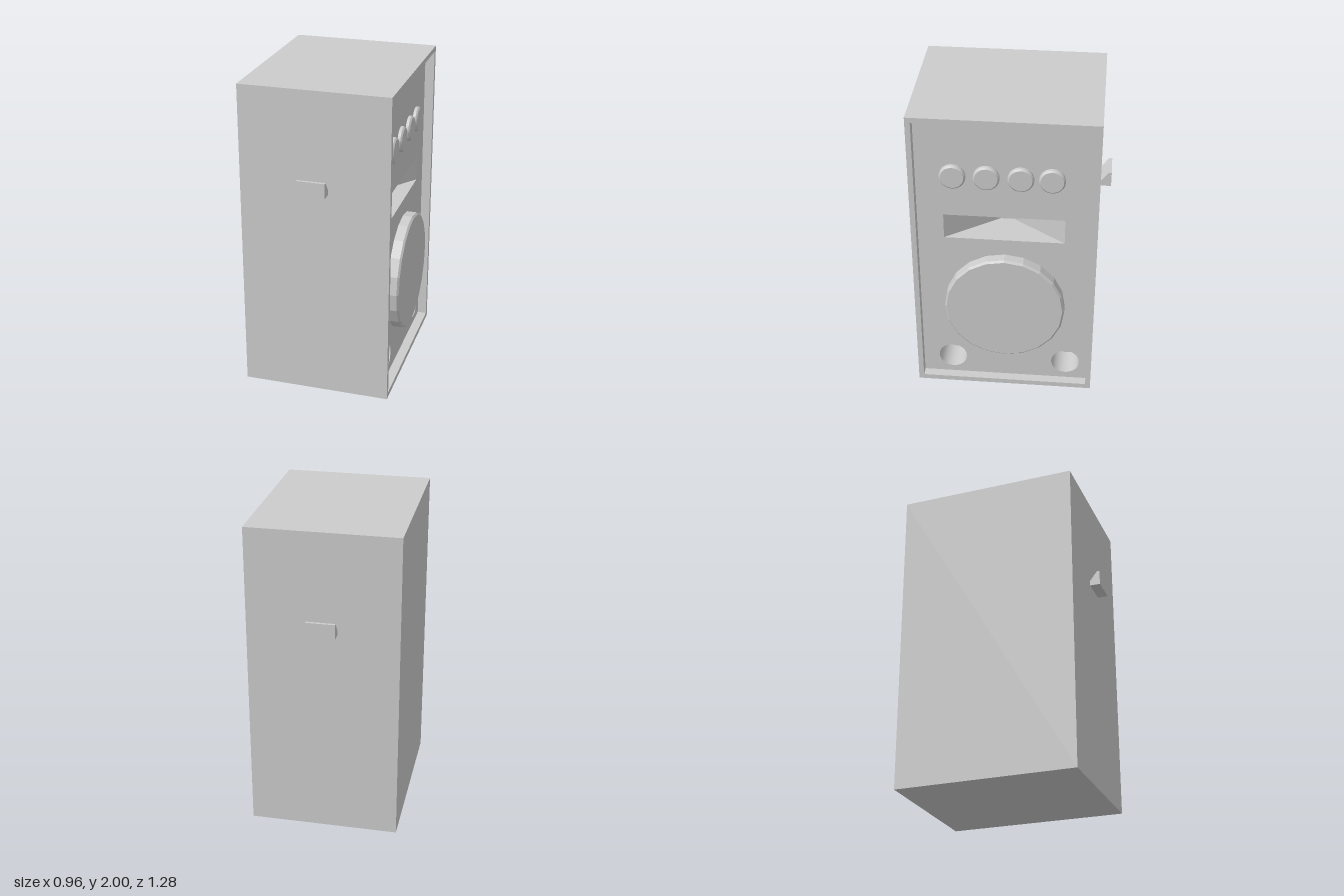
import * as THREE from 'three';

// Built with the baffle facing local +z, then the whole cabinet is turned to face +x.
const HALF = 0.573, HEIGHT = 2, BACK = -0.478, FRONT = 0.465, BAFFLE = 0.405;
const KNOBS = [-0.313, -0.108, 0.1, 0.288];
const PORTS = [-0.346, 0.4];
const PORT_Y = 0.17, PORT_R = 0.092, PORT_DEPTH = 0.2;
const SLOT = { x0: -0.377, x1: 0.372, y0: 1.13, y1: 1.3, depth: 0.24 };

const material = new THREE.MeshStandardMaterial({ color: 0xcccccc });
const flat = new THREE.MeshStandardMaterial({ color: 0xcccccc, flatShading: true });
const inside = new THREE.MeshStandardMaterial({ color: 0xcccccc, flatShading: true, side: THREE.DoubleSide });
const smoothInside = new THREE.MeshStandardMaterial({ color: 0xcccccc, side: THREE.DoubleSide });

function rect(x0, y0, x1, y1, Type = THREE.Shape) {
  return new Type([[x0, y0], [x1, y0], [x1, y1], [x0, y1]].map(p => new THREE.Vector2(...p)));
}

function extrude(shape, z0, z1) {
  const g = new THREE.ExtrudeGeometry(shape, { depth: z1 - z0, bevelEnabled: false, curveSegments: 24 });
  return g.translate(0, 0, z0);
}

// Short round cap with a chamfered rim, standing on the baffle
function cap(radius, chamfer, height, sides) {
  const profile = [[radius, 0], [radius, height - chamfer], [radius - chamfer, height], [0, height]];
  return new THREE.LatheGeometry(profile.map(p => new THREE.Vector2(...p)), sides).rotateX(Math.PI / 2);
}

// Slot cavity: side walls converge on a narrow back strip
function hornGeometry() {
  const { x0, x1, y0, y1, depth } = SLOT;
  const plan = [[x0, BAFFLE], [-0.048, BAFFLE - depth], [0.037, BAFFLE - depth], [x1, BAFFLE]];
  const pos = [], index = [];
  for (const y of [y0, y1]) for (const [x, z] of plan) pos.push(x, y, z);
  for (let i = 0; i < 3; i++) index.push(i, i + 1, i + 5, i, i + 5, i + 4);
  index.push(0, 3, 2, 0, 2, 1, 4, 5, 6, 4, 6, 7);
  const g = new THREE.BufferGeometry();
  g.setAttribute('position', new THREE.Float32BufferAttribute(pos, 3));
  g.setIndex(index);
  const out = g.toNonIndexed();
  out.computeVertexNormals();
  return out;
}

export function createModel() {
  const model = new THREE.Group();
  model.name = 'loudspeaker';
  const cabinet = new THREE.Group();
  cabinet.name = 'cabinet';
  cabinet.rotation.y = Math.PI / 2;
  model.add(cabinet);

  const add = (name, geometry, mat, x = 0, y = 0, z = 0) => {
    const mesh = new THREE.Mesh(geometry, mat);
    mesh.name = name;
    mesh.position.set(x, y, z);
    cabinet.add(mesh);
    return mesh;
  };

  // Outer walls, projecting past the baffle as a thin rim
  const walls = rect(-HALF, 0, HALF, HEIGHT);
  walls.holes.push(rect(-0.54, 0.034, 0.54, 1.968, THREE.Path));
  add('outerWalls', extrude(walls, BACK + 0.02, FRONT), material);
  add('backPanel', extrude(rect(-HALF, 0, HALF, HEIGHT), BACK, BACK + 0.02), material);

  // Recessed baffle with openings for the slot and the ports
  const baffle = rect(-0.54, 0.034, 0.54, 1.968);
  baffle.holes.push(rect(SLOT.x0, SLOT.y0, SLOT.x1, SLOT.y1, THREE.Path));
  for (const x of PORTS) baffle.holes.push(new THREE.Path().absarc(x, PORT_Y, PORT_R, 0, Math.PI * 2));
  add('baffle', extrude(baffle, BAFFLE - 0.02, BAFFLE), material);

  add('hornSlot', hornGeometry(), inside);

  // Bass ports: tube and closed end
  for (const x of PORTS) {
    const tube = new THREE.CylinderGeometry(PORT_R, PORT_R, PORT_DEPTH, 48, 1, true).rotateX(Math.PI / 2);
    add('portTube', tube, smoothInside, x, PORT_Y, BAFFLE - 0.001 - PORT_DEPTH / 2);
    add('portEnd', new THREE.CircleGeometry(PORT_R, 48), material, x, PORT_Y, BAFFLE - PORT_DEPTH);
  }

  // Woofer and the row of small drivers
  add('woofer', cap(0.382, 0.012, 0.073, 20), flat, 0.003, 0.64, BAFFLE);
  for (const x of KNOBS) add('smallDriver', cap(0.08, 0.01, 0.028, 32), flat, x, 1.585, BAFFLE);

  // Wedge-shaped side handles, mirrored
  for (const s of [-1, 1]) {
    const profile = [[0.57, 1.36], [0.639, 1.36], [0.639, 1.455], [0.621, 1.455], [0.57, 1.388]];
    const shape = new THREE.Shape(profile.map(([x, y]) => new THREE.Vector2(s * x, y)));
    add(s < 0 ? 'leftHandle' : 'rightHandle', extrude(shape, -0.097, 0.082), flat);
  }
  return model;
}
